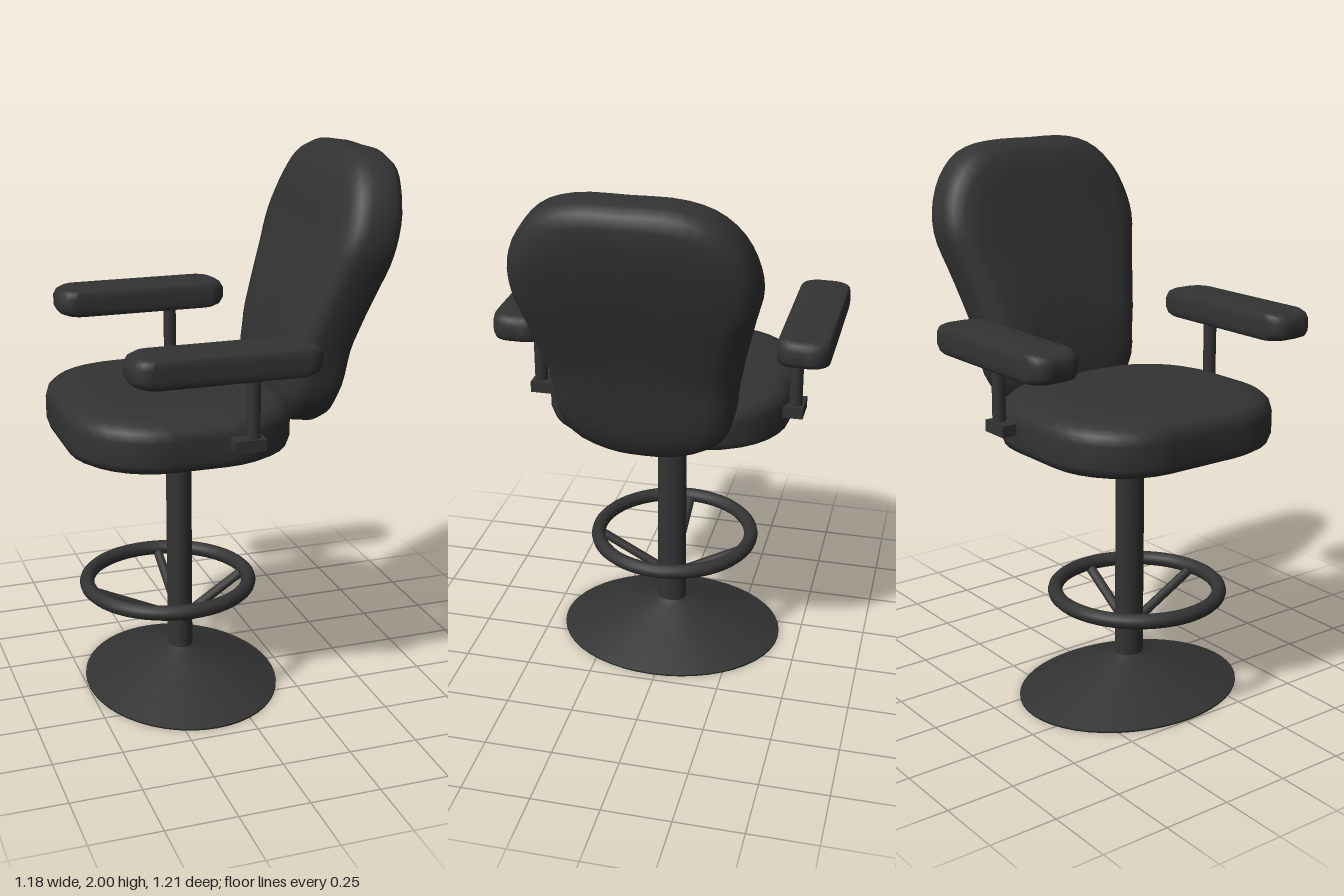
import * as THREE from 'three';

const material = new THREE.MeshStandardMaterial({ color: 0x333333, roughness: 0.8 });

// Pillow-like solid: an outline [u, v] repeated at layers [scale, height].
// place(u, v, h) puts each point in space.
function cushion(outline, layers, place) {
  const n = outline.length, pos = [], index = [];
  for (const [s, h] of layers) for (const [u, v] of outline) pos.push(...place(u * s, v * s, h));
  for (let k = 0; k < layers.length - 1; k++) {
    for (let i = 0; i < n; i++) {
      const j = (i + 1) % n, a = k * n + i, b = k * n + j, c = a + n, d = b + n;
      if (layers[k][0] > 0) index.push(a, b, c);
      if (layers[k + 1][0] > 0) index.push(b, d, c);
      else if (layers[k][0] === 0) index.push(b, d, c);
    }
  }
  const g = new THREE.BufferGeometry();
  g.setAttribute('position', new THREE.Float32BufferAttribute(pos, 3));
  g.setIndex(index);
  g.computeVertexNormals();
  return g;
}

// Rounded rectangle, counter-clockwise
function roundedOutline(w, d, r, steps = 8) {
  const pts = [];
  [[1, 1], [-1, 1], [-1, -1], [1, -1]].forEach(([sx, sy], q) => {
    for (let i = 0; i <= steps; i++) {
      const t = (q + i / steps) * Math.PI / 2;
      pts.push([sx * (w / 2 - r) + r * Math.cos(t), sy * (d / 2 - r) + r * Math.sin(t)]);
    }
  });
  return pts;
}

// Piecewise linear lookup
function lookup(table, t) {
  for (let i = 1; i < table.length; i++) {
    const [a, va] = table[i - 1], [b, vb] = table[i];
    if (t <= b || i === table.length - 1) return va + (vb - va) * (t - a) / (b - a);
  }
}

export function createModel() {
  const model = new THREE.Group();
  const add = (name, geometry, x = 0, y = 0, z = 0) => {
    const m = new THREE.Mesh(geometry, material);
    m.name = name;
    m.position.set(x, y, z);
    model.add(m);
    return m;
  };
  const cx = -0.14, cz = 0.015;
  const lathe = (name, profile) => {
    const m = add(name, new THREE.LatheGeometry(profile.map(p => new THREE.Vector2(...p)), 48), cx, 0, cz);
    m.scale.x = 0.82;
    return m;
  };

  // Pedestal, slightly oval
  lathe('base', [[0, 0], [0.435, 0], [0.435, 0.006]]);
  lathe('baseCone', [[0.435, 0.006], [0.25, 0.07], [0.09, 0.125], [0.055, 0.142]]);
  lathe('column', [[0.056, 0.12], [0.056, 0.92]]);
  lathe('seatFlange', [[0.056, 0.9], [0.075, 0.915], [0.105, 0.95], [0.127, 0.958], [0.127, 0.985]]);

  // Foot ring with four sloping spokes
  const ringX = -0.186;
  add('footRing', new THREE.TorusGeometry(0.302, 0.027, 12, 56).rotateX(Math.PI / 2), ringX, 0.408, cz);
  for (let i = 0; i < 4; i++) {
    const t = i * Math.PI / 2, c = Math.cos(t), s = Math.sin(t);
    const outerX = i % 2 ? cx : ringX + 0.3 * c;
    const path = new THREE.LineCurve3(
      new THREE.Vector3(outerX, 0.4, cz + 0.3 * s),
      new THREE.Vector3(cx + 0.03 * c, 0.255, cz + 0.03 * s));
    add('footRingSpoke', new THREE.TubeGeometry(path, 1, 0.018, 10));
  }

  // Seat cushion
  add('seat', cushion(roundedOutline(0.8, 0.905, 0.3),
    [[0, 0.972], [0.8, 0.972], [0.92, 0.98], [0.98, 0.995], [1, 1.02], [1, 1.1],
      [0.98, 1.13], [0.93, 1.15], [0.84, 1.163], [0.65, 1.17], [0, 1.173]],
    (u, v, h) => [u, h, -v]), -0.185, 0, 0.007);

  // Backrest: half outline [z, y] mirrored, leaning along a curved centre line
  const half = [[0, -0.49], [0.12, -0.48], [0.24, -0.43], [0.3, -0.35], [0.32, -0.22], [0.345, -0.1],
    [0.385, 0.06], [0.415, 0.18], [0.405, 0.28], [0.36, 0.38], [0.28, 0.455], [0.17, 0.49], [0, 0.493]];
  const loop = [...half, ...half.slice(1, -1).reverse().map(([z, y]) => [-z, y])]
    .map(([z, y]) => new THREE.Vector3(z, y, 0));
  const outline = new THREE.CatmullRomCurve3(loop, true).getPoints(64).slice(0, -1).map(p => [p.x, p.y]);
  const lean = [[1.0, 0.265], [1.15, 0.285], [1.34, 0.315], [1.48, 0.362], [1.61, 0.41], [1.79, 0.465], [1.9, 0.49], [2.0, 0.52]];
  add('backrest', cushion(outline,
    [[0, -0.112], [0.3, -0.112], [0.55, -0.112], [0.75, -0.11], [0.88, -0.098], [0.96, -0.075], [1, -0.04],
      [1, 0.04], [0.96, 0.075], [0.88, 0.098], [0.75, 0.11], [0.55, 0.112], [0.3, 0.112], [0, 0.112]],
    (u, v, h) => {
      const y = 1.502 + v;
      return [lookup(lean, y) + h, y - 0.15 * h, -u];
    }), 0, 0, 0.005);

  // Armrests with posts and brackets on both sides
  for (const side of [1, -1]) {
    const prefix = side > 0 ? 'left' : 'right';
    add(prefix + 'Armrest', cushion(roundedOutline(0.662, 0.187, 0.065, 5),
      [[0, 1.326], [0.9, 1.326], [0.965, 1.335], [1, 1.355], [1, 1.395], [0.965, 1.415], [0.9, 1.425], [0, 1.425]],
      (u, v, h) => [u, h, -v]), -0.134, 0, side * 0.511);
    const z = side > 0 ? 0.488 : -0.468;
    add(prefix + 'ArmPost', new THREE.CylinderGeometry(0.024, 0.024, 0.26, 16), -0.023, 1.21, z);
    add(prefix + 'ArmBracket', new THREE.BoxGeometry(0.11, 0.042, 0.08), -0.04, 1.079, z - side * 0.008);
  }
  return model;
}
